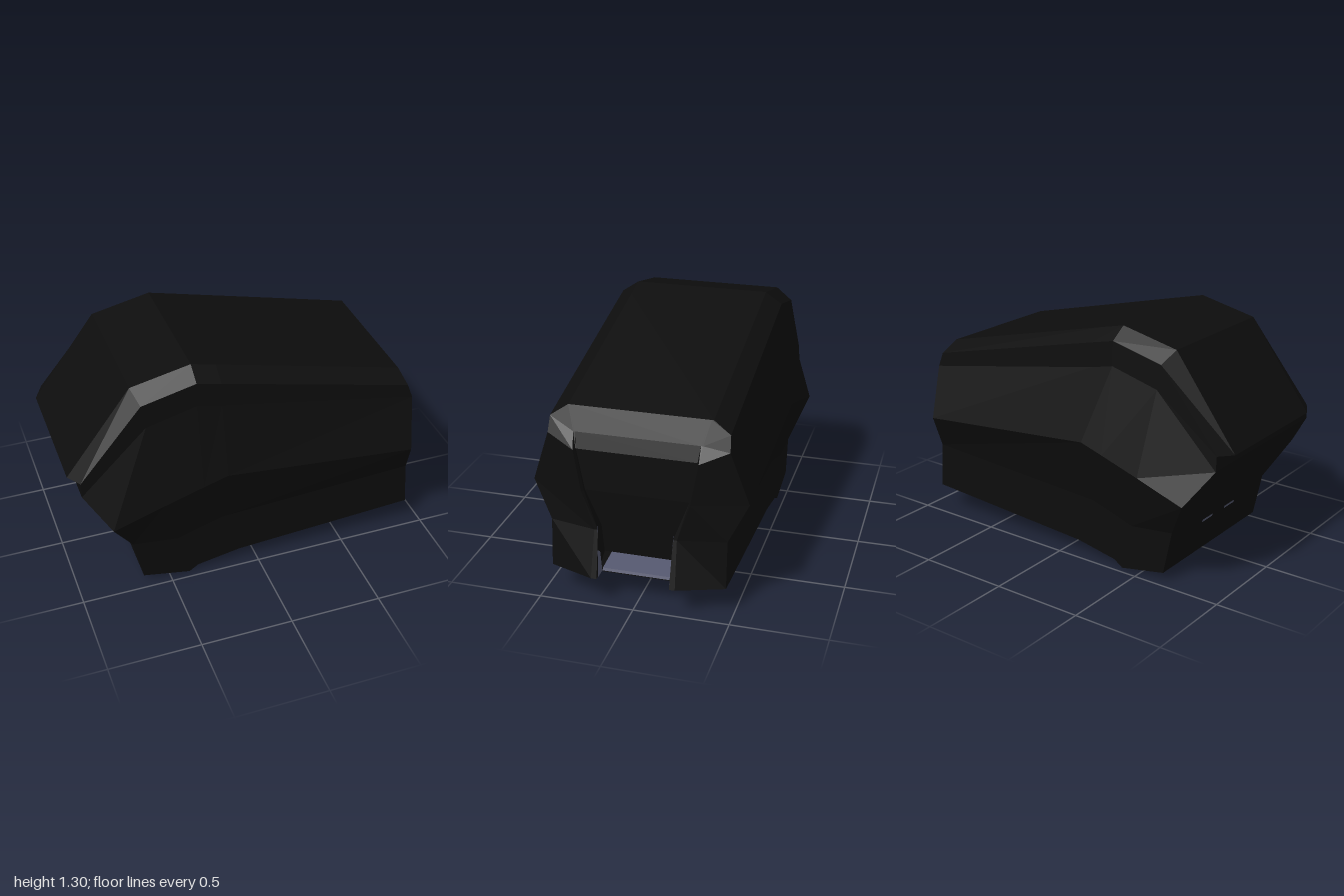
import * as THREE from 'three';

const black = new THREE.MeshStandardMaterial({ color: 0x0d0d0d, flatShading: true, side: THREE.DoubleSide });
black.name = 'black';
const grey = new THREE.MeshStandardMaterial({ color: 0x55586f, flatShading: true, side: THREE.DoubleSide });
grey.name = 'slate grey';

const flip = ([x, y, z]) => [x, y, -z];

// Skins a grid of points: each row is a line of points, neighbouring rows are joined
function skin(name, rows, material = black) {
  const pos = [];
  for (let r = 0; r < rows.length - 1; r++) {
    for (let i = 0; i < rows[r].length - 1; i++) {
      const a = rows[r][i], b = rows[r][i + 1], c = rows[r + 1][i + 1], d = rows[r + 1][i];
      pos.push(...a, ...d, ...b, ...b, ...d, ...c);
    }
  }
  const g = new THREE.BufferGeometry();
  g.setAttribute('position', new THREE.Float32BufferAttribute(pos, 3));
  g.computeVertexNormals();
  const mesh = new THREE.Mesh(g, material);
  mesh.name = name;
  return mesh;
}

export function createModel() {
  const model = new THREE.Group();
  model.name = 'facetedShell';

  // Lengthwise edges of the left half, from the back to the front
  const edge = (z, pts) => pts.map(([x, y]) => [x, y, z]);
  const roof = edge(0.37, [[-1, 0.76], [-0.65, 1.23], [-0.33, 1.3], [-0.2, 1.269], [0.83, 1.02]]);
  const bevel = edge(0.46, [[-0.95, 0.77], [-0.62, 1.17], [-0.33, 1.24], [-0.2, 1.21], [0.85, 0.96]]);
  const shoulder = edge(0.465, [[-0.95, 0.69], [-0.6, 1.04], [-0.33, 1.11], [-0.2, 1.08], [0.88, 0.88]]);
  const ridge = edge(0.56, [[-0.82, 0.5], [-0.55, 0.59], [-0.33, 0.66], [-0.2, 0.7], [0.855, 0.6]]);
  const waist = edge(0.46, [[-0.7, 0.29], [-0.45, 0.26], [-0.33, 0.3], [-0.2, 0.34], [0.89, 0.4]]);
  const base = edge(0.46, [[-0.65, 0.05], [-0.39, 0], [-0.34, 0.035], [-0.1, 0.08], [0.91, 0.145]]);
  const lines = [roof, bevel, shoulder, ridge, waist, base];

  // Roof, floor and back close the two halves
  model.add(skin('roof', [roof.map(flip), roof]));
  model.add(skin('floor', [base, base.map(flip)]));
  const back = lines.map((l) => l[0]);
  model.add(skin('backPanel', [back, back.map(flip)]));

  // Front edge of the body, the cheek's front line and its inner rim
  const front = lines.map((l) => l[l.length - 1]);
  const cheek = [[0.83, 1.02, 0.36], [0.88, 0.9, 0.33], [0.925, 0.82, 0.32],
    [0.935, 0.6, 0.28], [0.94, 0.4, 0.215], [1, 0.15, 0.22]];
  const rim = [[0.83, 1.02, 0.35], [0.88, 0.9, 0.32], [0.91, 0.82, 0.31],
    [0.92, 0.6, 0.27], [0.94, 0.4, 0.195], [1, 0.15, 0.19]];
  const panel = [[0.83, 1.02, 0.35], [0.88, 0.9, 0.32], [0.905, 0.82, 0.31],
    [0.905, 0.6, 0.27], [0.885, 0.4, 0.195], [0.865, 0.24, 0.19]];
  const liner = [[[0.94, 0.43, 0.199], [0.985, 0.155, 0.186]], [[0.938, 0.42, 0.199], [0.92, 0.155, 0.186]]];
  const sole = [[[0.91, 0.145, 0.46], [1, 0.15, 0.22], [1, 0.15, 0.19]],
    [[0.91, 0.145, 0.29], [0.95, 0.15, 0.19], [0.95, 0.15, 0.19]]];

  for (const [side, f] of [['left', (p) => p], ['right', flip]]) {
    const put = (name, rows, mat) => {
      const r = rows.map((row) => row.map(f));
      model.add(skin(side + name, f === flip ? r.reverse() : r, mat));
    };
    put('Side', lines);
    put('Cheek', [cheek, front]);
    put('CheekRim', [rim, cheek]);
    put('CheekInside', [panel, rim]);
    put('CheekSole', sole);
    put('CheekLiner', liner, grey);
    // Short slot mark low on the back
    put('BackSlot', [[[-0.692, 0.235, 0.06], [-0.692, 0.235, 0.16]],
      [[-0.696, 0.25, 0.06], [-0.696, 0.25, 0.16]]], grey);
  }

  // Recessed front panel, with the grey sill in the opening below it
  model.add(skin('frontPanel', [panel.map(flip), panel]));
  const sill = [[0.905, 0.146, 0.19], [0.9, 0.16, 0.19], [0.74, 0.175, 0.19]];
  model.add(skin('frontSill', [sill.map(flip), sill], grey));

  return model;
}
